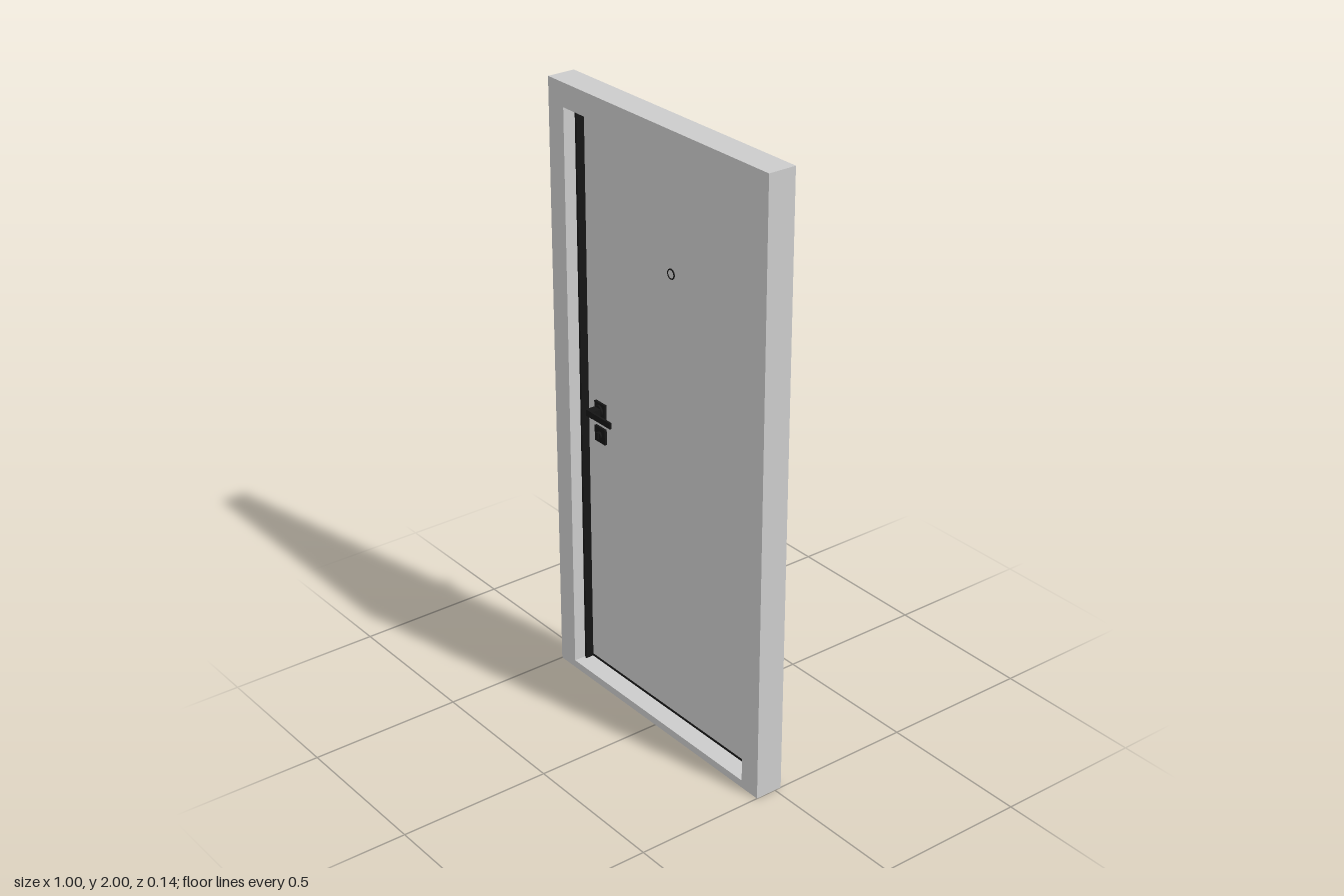
import * as THREE from 'three';

const grey = new THREE.MeshStandardMaterial({ color: 0xcccccc });
const black = new THREE.MeshStandardMaterial({ color: 0x151515 });

// Box given by its minimum and maximum corners
function block(parent, name, [x0, y0, z0], [x1, y1, z1], material = grey) {
  const mesh = new THREE.Mesh(new THREE.BoxGeometry(x1 - x0, y1 - y0, z1 - z0), material);
  mesh.position.set((x0 + x1) / 2, (y0 + y1) / 2, (z0 + z1) / 2);
  mesh.name = name;
  parent.add(mesh);
  return mesh;
}

function cylinder(parent, name, radius, length, position, material, alongZ = false) {
  const mesh = new THREE.Mesh(new THREE.CylinderGeometry(radius, radius, length, 24), material);
  mesh.position.set(...position);
  if (alongZ) mesh.rotation.x = Math.PI / 2;
  mesh.name = name;
  parent.add(mesh);
  return mesh;
}

// Fittings for one face of the door; outward is +z from the face
function createFittings(name) {
  const g = new THREE.Group();
  g.name = name;
  const x = -0.35;

  // Lever handle on a square plate
  block(g, 'handlePlate', [x - 0.026, 0.924, 0], [x + 0.026, 0.976, 0.008], black);
  cylinder(g, 'handleCollar', 0.019, 0.006, [x, 0.95, 0.011], black, true);
  block(g, 'handleNeck', [x - 0.016, 0.939, 0.008], [x + 0.013, 0.961, 0.048], black);
  block(g, 'handleLever', [x + 0.013, 0.94, 0.041], [-0.243, 0.96, 0.048], black);

  // Lock plate with its turn knob
  block(g, 'lockPlate', [x - 0.026, 0.839, 0], [x + 0.026, 0.891, 0.008], black);
  cylinder(g, 'lockCollar', 0.012, 0.006, [x, 0.865, 0.011], black, true);
  block(g, 'lockKnob', [x - 0.004, 0.855, 0.012], [x + 0.004, 0.877, 0.02], black);

  // Peephole: dark rim around a grey lens
  const rim = new THREE.Mesh(new THREE.TorusGeometry(0.0145, 0.0025, 8, 32), black);
  rim.position.set(0, 1.525, 0.001);
  rim.name = 'peepholeRim';
  g.add(rim);
  cylinder(g, 'peepholeLens', 0.0135, 0.002, [0, 1.525, 0.001], grey, true);
  return g;
}

export function createModel() {
  const door = new THREE.Group();
  door.name = 'door';
  const back = -0.023, front = 0.07, face = 0.005;
  const inner = 0.427, top = 1.924, sill = 0.025;

  // Frame
  const frame = new THREE.Group();
  frame.name = 'frame';
  door.add(frame);
  block(frame, 'rightJamb', [-0.5, 0, back], [-inner, 2, front]);
  block(frame, 'leftJamb', [inner, 0, back], [0.5, 2, front]);
  block(frame, 'lintel', [-inner, top, back], [inner, 2, front]);
  block(frame, 'sill', [-inner, 0, back], [inner, sill, front]);

  // Leaf, flush with the back of the frame
  block(door, 'leaf', [-inner + 0.002, sill + 0.002, back], [inner - 0.002, top - 0.002, face]);

  // Dark seal around the front of the leaf, deeper along the jambs
  const seal = new THREE.Group();
  seal.name = 'seal';
  door.add(seal);
  for (const s of [-1, 1]) {
    const xs = [s * 0.422, s * 0.415].sort((a, b) => a - b);
    block(seal, 'sideSeal', [xs[0], sill, face], [xs[1], top, face + 0.028], black);
  }
  block(seal, 'topSeal', [-0.415, top - 0.009, face], [0.415, top - 0.002, face + 0.003], black);
  block(seal, 'bottomSeal', [-0.415, sill + 0.002, face], [0.415, sill + 0.008, face + 0.003], black);

  // Handles, locks and peepholes on both faces
  const frontFittings = createFittings('frontFittings');
  frontFittings.position.z = face;
  const backFittings = createFittings('backFittings');
  backFittings.position.z = back;
  // Turn the back set to face -z, keeping the handle on the same edge of the leaf
  backFittings.scale.z = -1;
  door.add(frontFittings, backFittings);

  // Hinges: grey barrel between two black sleeves
  for (const y of [1.755, 0.61, 0.233]) {
    const hinge = new THREE.Group();
    hinge.name = 'hinge';
    hinge.position.set(inner, y, back - 0.01);
    cylinder(hinge, 'barrel', 0.0095, 0.036, [0, 0, 0], grey);
    for (const s of [-1, 1]) cylinder(hinge, 'sleeve', 0.01, 0.036, [0, s * 0.036, 0], black);
    door.add(hinge);
  }
  return door;
}
